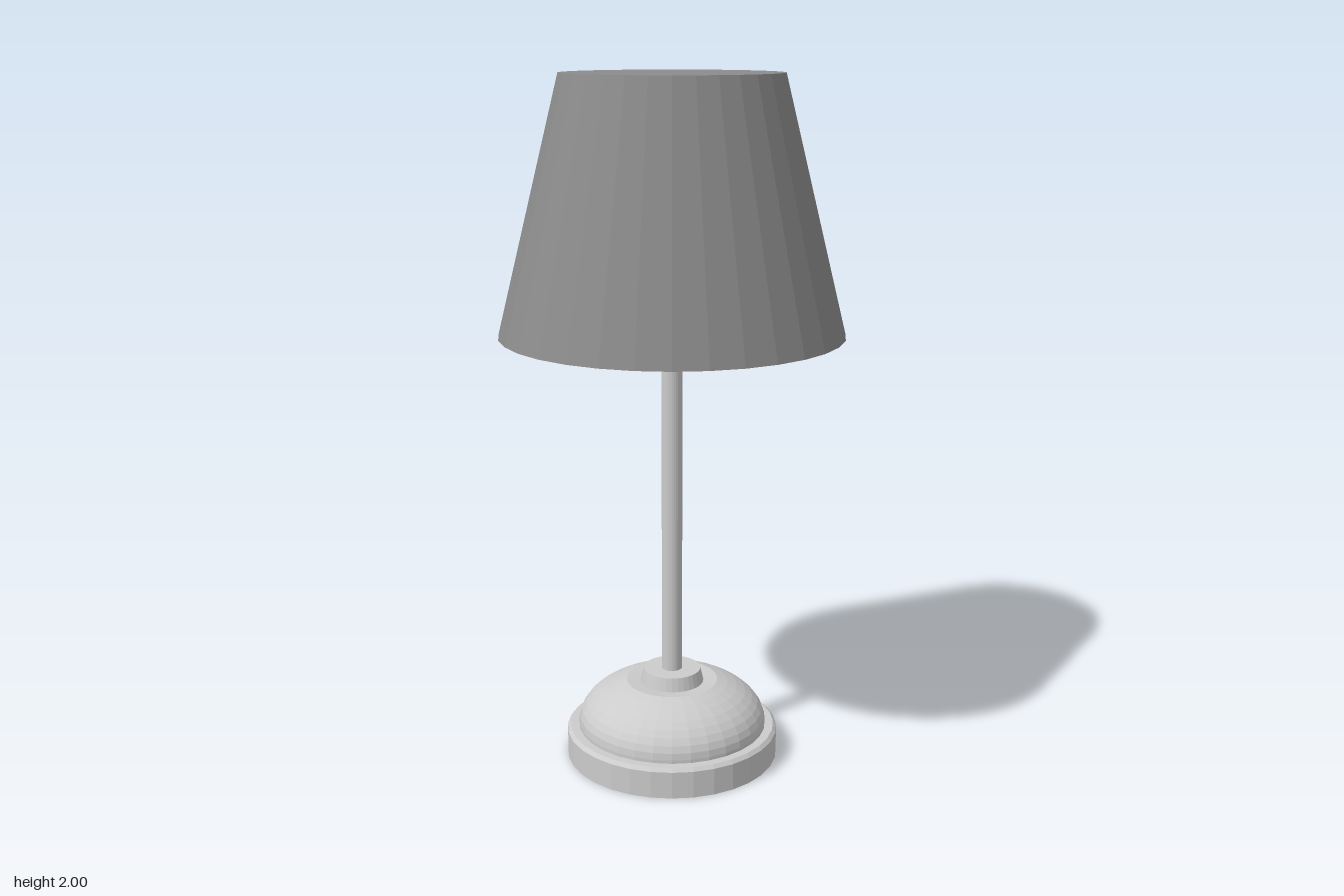
import * as THREE from 'three';

const SIDES = 32;

export function createModel() {
  const group = new THREE.Group();
  const grey = new THREE.MeshStandardMaterial({ color: 0xcccccc, flatShading: true });
  const shadeGrey = new THREE.MeshStandardMaterial({ color: 0x8c8c8c, flatShading: true });

  const add = (name, geometry, material = grey) => {
    const mesh = new THREE.Mesh(geometry, material);
    mesh.name = name;
    group.add(mesh);
  };
  // Closed round part between two heights
  const round = (name, rTop, rBottom, y0, y1, material) =>
    add(name, new THREE.CylinderGeometry(rTop, rBottom, y1 - y0, SIDES).translate(0, (y0 + y1) / 2, 0), material);

  // Base plate with a small bevel on its upper rim
  const plate = [[0, 0], [0.315, 0], [0.315, 0.08], [0.305, 0.09], [0, 0.09]];
  add('basePlate', new THREE.LatheGeometry(plate.map(p => new THREE.Vector2(...p)), SIDES));

  // Squashed dome, cut off below its pole with a shallow dip around the collar
  const dome = [new THREE.Vector2(0.28, 0.088)];
  for (let i = 0; i <= 8; i++) {
    const a = (i / 8) * THREE.MathUtils.degToRad(61);
    dome.push(new THREE.Vector2(0.28 * Math.cos(a), 0.1 + 0.148 * Math.sin(a)));
  }
  dome.push(new THREE.Vector2(0.09, 0.225), new THREE.Vector2(0, 0.225));
  add('baseDome', new THREE.LatheGeometry(dome, SIDES));

  // Collar, stem and bulb socket
  round('collar', 0.085, 0.095, 0.222, 0.265);
  round('stem', 0.03, 0.03, 0.26, 1.2);
  round('socket', 0.067, 0.067, 1.19, 1.3);

  // Closed conical shade
  round('shade', 0.31, 0.49, 1.28, 2, shadeGrey);

  return group;
}
